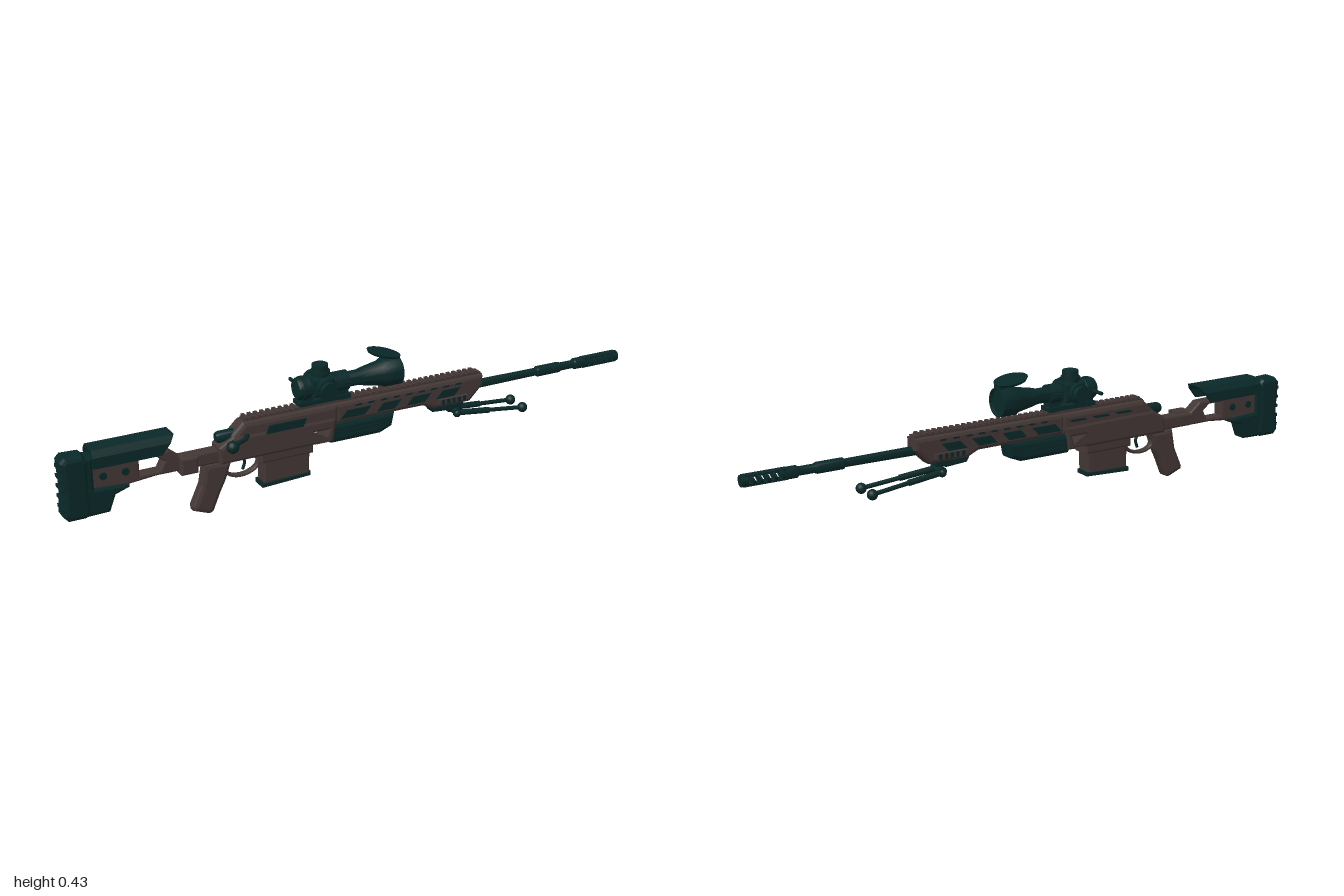
import * as THREE from 'three';
import { toCreasedNormals } from 'three/addons/utils/BufferGeometryUtils.js';

const brown = new THREE.MeshStandardMaterial({ name: 'brown polymer', color: 0x433735 });
const teal = new THREE.MeshStandardMaterial({ name: 'dark teal metal', color: 0x0a2828 });

export function createModel() {
  const model = new THREE.Group();
  const body = new THREE.Group();
  body.name = 'rifle';
  body.position.z = -0.008;
  model.add(body);

  const add = (name, geo, mat, x = 0, y = 0, z = 0) => {
    const m = new THREE.Mesh(geo, mat);
    m.name = name;
    m.position.set(x, y, z);
    body.add(m);
    return m;
  };
  const toPts = (p) => p.map(([x, y]) => new THREE.Vector2(x, y));
  // Side profile extruded across z with chamfered edges
  const slab = (name, pts, width, mat, bevel = 0.006, holes = [], z = 0) => {
    const s = new THREE.Shape(toPts(pts));
    holes.forEach((h) => s.holes.push(new THREE.Path(toPts(h))));
    const g = new THREE.ExtrudeGeometry(s, {
      depth: width - 2 * bevel, bevelEnabled: bevel > 0, bevelThickness: bevel,
      bevelSize: bevel, bevelOffset: -bevel, bevelSegments: 2,
    });
    g.translate(0, 0, -width / 2 + bevel);
    return add(name, g, mat, 0, 0, z);
  };
  const box = (name, w, h, d, mat, x, y, z = 0) => add(name, new THREE.BoxGeometry(w, h, d), mat, x, y, z);
  // Turned part along x from [radius, x] points
  const turned = (name, pts, mat, y, seg = 24) => {
    const g = new THREE.LatheGeometry(toPts(pts), seg).rotateZ(-Math.PI / 2);
    return add(name, toCreasedNormals(g, 0.6), mat, 0, y, 0);
  };
  // Round rod between two points
  const rod = (name, a, b, r, mat, r2 = r) => {
    const A = new THREE.Vector3(...a), B = new THREE.Vector3(...b), d = B.clone().sub(A);
    const m = add(name, new THREE.CylinderGeometry(r2, r, d.length(), 14), mat);
    m.position.copy(A).add(B).multiplyScalar(0.5);
    m.quaternion.setFromUnitVectors(new THREE.Vector3(0, 1, 0), d.normalize());
    return m;
  };
  const ball = (name, r, mat, x, y, z) => add(name, new THREE.SphereGeometry(r, 18, 12), mat, x, y, z);

  // Stock
  slab('stockFrame', [[-0.92, 0.15], [-0.7, 0.17], [-0.47, 0.168], [-0.47, 0.212], [-0.62, 0.212], [-0.66, 0.245], [-0.92, 0.25]],
    0.044, brown, 0.006, [[[-0.755, 0.232], [-0.7, 0.232], [-0.675, 0.212], [-0.69, 0.183], [-0.755, 0.183]]]);
  slab('stockBlock', [[-0.93, 0.085], [-0.855, 0.087], [-0.835, 0.14], [-0.79, 0.155], [-0.79, 0.168], [-0.9, 0.175], [-0.9, 0.275], [-0.93, 0.28]],
    0.062, teal, 0.01);
  slab('buttPad', [[-1, 0.1], [-0.985, 0.083], [-0.93, 0.083], [-0.913, 0.1], [-0.918, 0.18], [-0.913, 0.27], [-0.93, 0.288], [-0.985, 0.29], [-1, 0.275], [-0.994, 0.18]],
    0.072, teal, 0.014);
  for (let i = 0; i < 5; i++) box('padRib', 0.008, 0.01, 0.06, teal, -0.996, 0.12 + i * 0.033);
  for (const x of [-0.87, -0.8]) {
    const b = add('stockBolt', new THREE.CylinderGeometry(0.012, 0.012, 0.052, 16), teal, x, 0.207, 0);
    b.rotation.x = Math.PI / 2;
  }
  slab('foldHinge', [[-0.63, 0.162], [-0.575, 0.162], [-0.575, 0.217], [-0.63, 0.217]], 0.05, brown, 0.006, [], 0.022);

  // Cheek rest: arched shell with a slanted front edge
  const arch = new THREE.Shape(toPts([[-0.046, 0.245], [-0.046, 0.28], [-0.03, 0.3], [0.03, 0.3], [0.046, 0.28], [0.046, 0.245],
    [0.036, 0.245], [0.036, 0.275], [0.025, 0.288], [-0.025, 0.288], [-0.036, 0.275], [-0.036, 0.245]]));
  const cheek = new THREE.ExtrudeGeometry(arch, { depth: 0.26, bevelEnabled: false }).rotateY(Math.PI / 2);
  const cp = cheek.attributes.position;
  for (let i = 0; i < cp.count; i++) {
    if (cp.getX(i) > 0.13) cp.setX(i, cp.getX(i) - (0.3 - cp.getY(i)) * 0.8);
  }
  cheek.computeVertexNormals();
  add('cheekRest', cheek, teal, -0.905);
  box('cheekPost', 0.14, 0.05, 0.03, teal, -0.83, 0.265);

  // Grip, trigger and guard
  slab('grip', [[-0.545, 0.17], [-0.455, 0.165], [-0.475, 0.105], [-0.495, 0.065], [-0.52, 0.006], [-0.535, 0], [-0.587, 0.02], [-0.588, 0.034], [-0.558, 0.1]],
    0.048, brown, 0.014);
  const guard = new THREE.CatmullRomCurve3([[-0.47, 0.165], [-0.465, 0.12], [-0.44, 0.106], [-0.4, 0.106], [-0.365, 0.125], [-0.355, 0.165]]
    .map(([x, y]) => new THREE.Vector3(x, y, 0)));
  add('triggerGuard', new THREE.TubeGeometry(guard, 24, 0.006, 8).scale(1, 1, 2.2), brown);
  const trig = new THREE.CatmullRomCurve3([[-0.415, 0.17], [-0.405, 0.145], [-0.412, 0.12]].map(([x, y]) => new THREE.Vector3(x, y, 0)));
  add('trigger', new THREE.TubeGeometry(trig, 8, 0.005, 8), teal);

  // Chassis and receiver
  slab('chassis', [[-0.5, 0.165], [-0.11, 0.165], [-0.1, 0.245], [-0.45, 0.25], [-0.5, 0.22]], 0.074, brown, 0.01,
    [[[-0.175, 0.208], [-0.128, 0.208], [-0.138, 0.178], [-0.165, 0.178]]]);
  slab('receiver', [[-0.465, 0.22], [-0.455, 0.25], [-0.415, 0.288], [-0.09, 0.288], [-0.09, 0.22]], 0.066, brown, 0.014);
  const plate = (name, x, y, w, h, z, slant = 0.012) => slab(name,
    [[x - w / 2, y - h / 2], [x + w / 2 - slant, y - h / 2], [x + w / 2, y + h / 2], [x - w / 2 + slant, y + h / 2]], 0.008, teal, 0, [], z);
  plate('ejectionPort', -0.275, 0.252, 0.14, 0.026, 0.034);
  for (let i = 0; i < 3; i++) plate('sideVent', -0.33 + i * 0.09, 0.262, 0.07, 0.008, -0.031);

  // Magazine
  slab('magazine', [[-0.35, 0.17], [-0.19, 0.17], [-0.195, 0.068], [-0.35, 0.066]], 0.056, brown, 0.006);
  slab('magazineBase', [[-0.358, 0.068], [-0.19, 0.076], [-0.19, 0.062], [-0.358, 0.054]], 0.06, teal, 0.003);
  slab('magazineWell', [[-0.362, 0.185], [-0.182, 0.185], [-0.182, 0.14], [-0.362, 0.14]], 0.068, brown, 0.006);

  // Forend with side slots
  slab('forend', [[-0.1, 0.22], [-0.1, 0.288], [0.445, 0.288], [0.445, 0.25], [0.395, 0.2], [0.26, 0.2], [0.22, 0.218]], 0.062, brown, 0.012);
  for (const s of [1, -1]) {
    for (const [x, w] of [[-0.03, 0.11], [0.09, 0.09], [0.2, 0.09], [0.31, 0.09]]) plate('forendSlot', x, 0.248, w, 0.026, s * 0.0295, 0.024);
    for (let i = 0; i < 9; i++) plate('topVent', -0.02 + i * 0.046, 0.273, 0.026, 0.006, s * 0.028, 0.004);
    box('sideRail', 0.11, 0.016, 0.012, brown, 0.325, 0.225, s * 0.036);
    for (let i = 0; i < 5; i++) box('sideRailTooth', 0.01, 0.016, 0.006, teal, 0.285 + i * 0.02, 0.225, s * 0.043);
  }
  slab('handguard', [[-0.135, 0.18], [-0.115, 0.154], [0.06, 0.154], [0.105, 0.172], [0.115, 0.222], [-0.11, 0.222]], 0.062, teal, 0.014);
  for (const s of [1, -1]) for (let i = 0; i < 3; i++) box('handguardRib', 0.15, 0.006, 0.005, teal, -0.02, 0.178 + i * 0.013, s * 0.031);

  // Top rail
  box('topRail', 0.85, 0.01, 0.034, brown, 0.015, 0.289);
  for (let x = -0.4; x < 0.44; x += 0.021) box('railTooth', 0.011, 0.007, 0.04, brown, x, 0.296);

  // Bolt and handle
  turned('boltShroud', [[0, -0.5], [0.014, -0.5], [0.019, -0.49], [0.019, -0.41], [0, -0.41]], teal, 0.246);
  rod('boltArm', [-0.4, 0.246, 0.02], [-0.42, 0.244, 0.05], 0.008, teal);
  rod('boltArm', [-0.42, 0.244, 0.05], [-0.475, 0.243, 0.08], 0.007, teal);
  ball('boltKnob', 0.02, teal, -0.478, 0.243, 0.085);

  // Barrel and slotted muzzle brake
  turned('barrel', [[0, 0.4], [0.015, 0.4], [0.013, 0.67], [0.018, 0.675], [0.018, 0.76], [0.014, 0.77], [0.014, 0.82],
    [0.019, 0.825], [0.019, 0.862], [0, 0.862]], teal, 0.245);
  for (let i = 0; i < 6; i++) {
    const g = new THREE.CylinderGeometry(0.018, 0.018, i === 5 ? 0.02 : 0.01, 20).rotateZ(-Math.PI / 2);
    const p = g.attributes.position;
    if (i < 5) for (let k = 0; k < p.count; k++) p.setX(k, p.getX(k) + p.getY(k) * 0.4);
    add('brakeBaffle', g, teal, i === 5 ? 0.99 : 0.873 + i * 0.023, 0.245);
  }
  for (const s of [1, -1]) box('brakeStrip', 0.14, 0.007, 0.024, teal, 0.925, 0.245 + s * 0.0135);

  // Folded bipod
  slab('bipodMount', [[0.25, 0.2], [0.26, 0.185], [0.33, 0.18], [0.375, 0.19], [0.375, 0.212], [0.25, 0.212]], 0.044, teal, 0.005);
  rod('bipodAxle', [0.35, 0.172, -0.03], [0.35, 0.172, 0.03], 0.013, teal);
  for (const s of [1, -1]) {
    ball('bipodPivot', 0.014, teal, 0.35, 0.166, s * 0.024);
    rod('bipodLeg', [0.35, 0.168, s * 0.024], [0.47, 0.156, s * 0.03], 0.01, teal);
    rod('bipodLegTip', [0.47, 0.156, s * 0.03], [0.6, 0.143, s * 0.037], 0.007, teal);
    ball('bipodFoot', 0.017, teal, 0.598, 0.143, s * 0.037);
  }

  // Scope
  const sy = 0.353;
  turned('scopeTube', [[0, -0.225], [0.032, -0.225], [0.036, -0.218], [0.036, -0.185], [0.025, -0.178], [0.025, -0.01], [0.03, 0.01],
    [0.041, 0.07], [0.047, 0.08], [0.047, 0.137], [0.042, 0.137], [0.041, 0.128], [0, 0.128]], teal, sy, 32);
  turned('zoomRing', [[0.025, -0.212], [0.039, -0.21], [0.039, -0.196], [0.025, -0.194]], teal, sy, 20);
  rod('zoomLever', [-0.203, sy, -0.03], [-0.203, sy, -0.087], 0.006, teal);
  slab('turretHousing', [[-0.18, 0.322], [-0.1, 0.322], [-0.1, 0.385], [-0.18, 0.385]], 0.07, teal, 0.01);
  rod('topTurret', [-0.14, 0.38, 0], [-0.14, 0.423, 0], 0.028, teal, 0.026);
  rod('topTurretCollar', [-0.14, 0.393, 0], [-0.14, 0.402, 0], 0.032, teal);
  for (const s of [1, -1]) {
    rod('sideTurret', [-0.14, sy, s * 0.03], [-0.14, sy, s * 0.071], 0.031, teal, 0.027);
    rod('sideTurretCollar', [-0.14, sy, s * 0.045], [-0.14, sy, s * 0.056], 0.034, teal);
  }
  for (const x of [-0.195, -0.07]) {
    turned('scopeRing', [[0.02, x - 0.022], [0.032, x - 0.022], [0.032, x + 0.022], [0.02, x + 0.022]], teal, sy, 20);
    box('ringPost', 0.04, 0.045, 0.04, teal, x, 0.318);
    for (const s of [1, -1]) box('ringClamp', 0.036, 0.014, 0.012, teal, x, sy, s * 0.034);
  }
  box('scopeBase', 0.18, 0.014, 0.048, teal, -0.133, 0.306);

  // Raised lens cover
  const cap = add('lensCover', new THREE.CylinderGeometry(0.055, 0.05, 0.008, 28), teal, 0.085, 0.418);
  cap.rotation.z = -0.22;
  box('coverHinge', 0.016, 0.016, 0.034, teal, 0.128, 0.402);

  return model;
}
